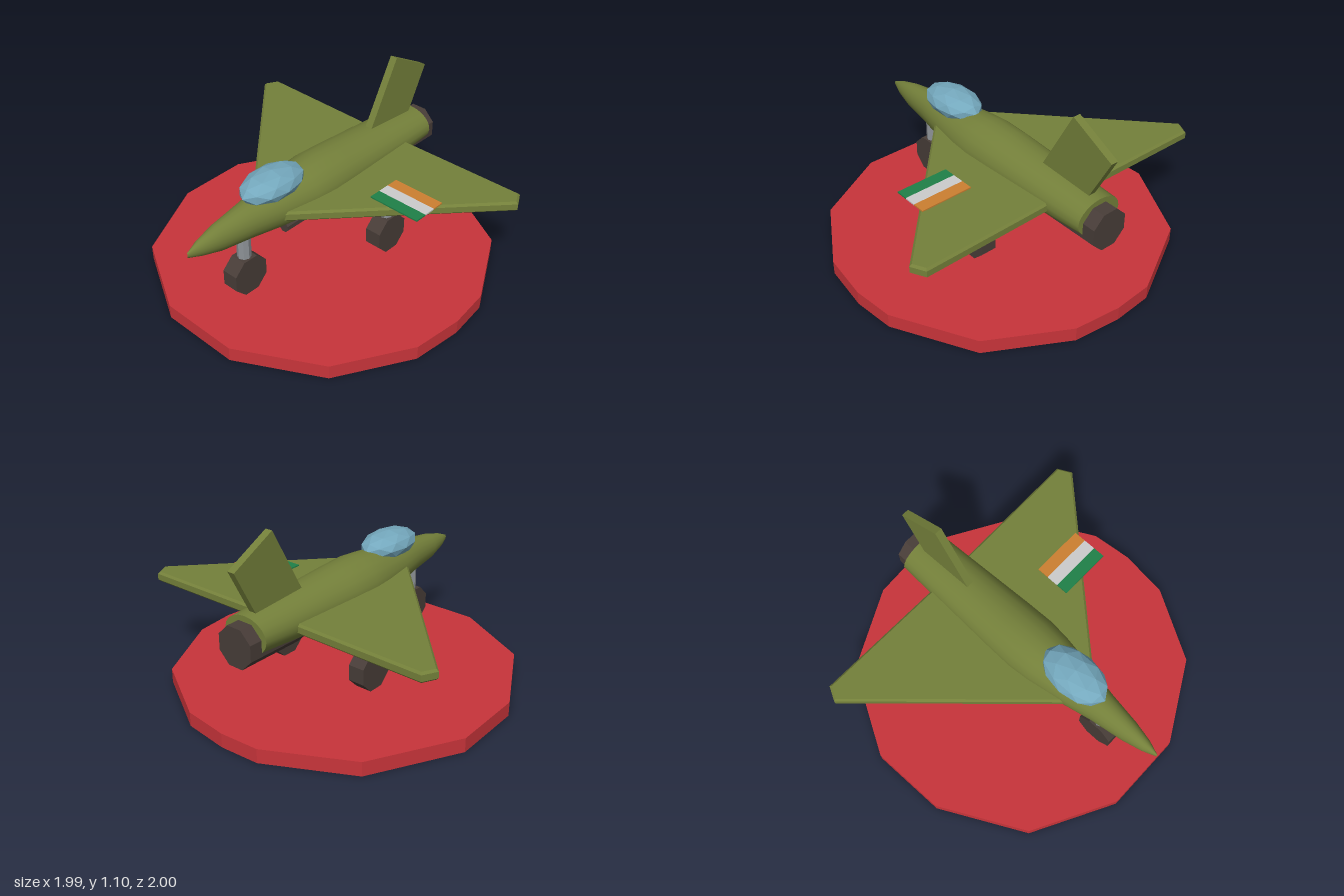
import * as THREE from 'three';

const mat = (name, color) => {
  const m = new THREE.MeshStandardMaterial({ color });
  m.name = name;
  return m;
};

// Faceted normals for low-poly parts
const faceted = (geo) => {
  const g = geo.index ? geo.toNonIndexed() : geo;
  g.computeVertexNormals();
  return g;
};

const toShape = (points) => new THREE.Shape(points.map(([x, y]) => new THREE.Vector2(x, y)));

// Horizontal slab from an x/z outline, between yTop - depth and yTop
function slab(points, yTop, depth, bevel = 0) {
  const geo = new THREE.ExtrudeGeometry(toShape(points), {
    depth: depth - 2 * bevel, bevelEnabled: bevel > 0, bevelThickness: bevel,
    bevelSize: bevel, bevelOffset: -bevel, bevelSegments: 1,
  });
  return geo.rotateX(Math.PI / 2).translate(0, yTop - bevel, 0);
}

// Smooth body lofted through elliptical stations [z, halfWidth, bottom, top]
function loft(stations, sides) {
  const pos = [], index = [];
  stations.forEach(([z, w, y0, y1], i) => {
    for (let j = 0; j < sides; j++) {
      const a = (j / sides) * Math.PI * 2;
      pos.push(w * Math.cos(a), (y0 + y1) / 2 + ((y1 - y0) / 2) * Math.sin(a), z);
      if (i === 0) continue;
      const k = (j + 1) % sides, p = (i - 1) * sides, q = i * sides;
      index.push(p + j, q + j, p + k, q + j, q + k, p + k);
    }
  });
  const geo = new THREE.BufferGeometry();
  geo.setAttribute('position', new THREE.Float32BufferAttribute(pos, 3));
  geo.setIndex(index);
  geo.computeVertexNormals();
  return geo;
}

export function createModel() {
  const green = mat('olive paint', 0x74803a);
  const red = mat('red base', 0xc8343a);
  const glass = mat('canopy blue', 0x74a8bd);
  const dark = mat('dark brown', 0x483d38);
  const grey = mat('strut grey', 0x8e9398);
  const stripes = [mat('orange', 0xcc7f30), mat('white', 0xcccccc), mat('flag green', 0x1f8048)];

  const model = new THREE.Group();
  model.name = 'jetOnBase';
  const jet = new THREE.Group();
  jet.name = 'jet';
  jet.position.x = -0.007;
  model.add(jet);
  const add = (name, geo, material, parent = jet) => {
    const mesh = new THREE.Mesh(geo, material);
    mesh.name = name;
    parent.add(mesh);
    return mesh;
  };

  // Base disc
  add('base', slab([
    [-0.24, -0.985], [0, -1], [0.28, -0.965], [0.72, -0.71], [0.965, -0.25], [0.99, 0], [0.955, 0.3],
    [0.71, 0.72], [0.24, 0.98], [-0.24, 0.98], [-0.72, 0.72], [-0.985, 0.22], [-0.995, -0.23], [-0.72, -0.735],
  ], 0.085, 0.085), red, model);

  // Fuselage with flat tail cap
  add('fuselage', loft([
    [1, 0.004, 0.565, 0.595], [0.92, 0.035, 0.535, 0.628], [0.8, 0.062, 0.5, 0.66], [0.6, 0.092, 0.475, 0.688],
    [0.42, 0.13, 0.452, 0.705], [0.2, 0.168, 0.425, 0.73], [0.07, 0.18, 0.415, 0.74],
    [-0.1, 0.176, 0.42, 0.733], [-0.8, 0.147, 0.475, 0.685],
  ], 20), green);
  add('tailCap', new THREE.CircleGeometry(1, 20).scale(0.147, 0.105, 1).rotateY(Math.PI).translate(0, 0.58, -0.8), green);

  // Delta wings
  for (const s of [1, -1]) {
    const outline = [[0, -0.572], [0.94, -0.583], [0.983, -0.5], [0.1, 0.455], [0, 0.455]];
    add(s > 0 ? 'leftWing' : 'rightWing', slab(outline.map(([x, z]) => [s * x, z]), 0.6, 0.06, 0.012), green);
  }

  // Tail fin, outlined in z/y
  const fin = new THREE.ExtrudeGeometry(
    toShape([[0.37, 0.66], [0.72, 0.64], [0.88, 0.95], [0.605, 1.095]]),
    { depth: 0.045, bevelEnabled: false });
  add('tailFin', fin.rotateY(Math.PI / 2).translate(-0.0225, 0, 0), green);

  // Canopy
  add('canopy', faceted(new THREE.IcosahedronGeometry(1, 1).scale(0.13, 0.083, 0.217).translate(0, 0.723, 0.395)), glass);

  // Engine and belly intakes
  const tube = (r, length, sides) =>
    faceted(new THREE.CylinderGeometry(r, r, length, sides).rotateY(Math.PI / sides).rotateX(Math.PI / 2));
  add('engine', tube(0.122, 0.42, 8), dark).position.set(0, 0.537, -0.67);
  for (const s of [1, -1]) {
    add(s > 0 ? 'leftIntake' : 'rightIntake', tube(0.034, 0.22, 8), dark).position.set(s * 0.075, 0.462, 0.28);
  }

  // Landing gear
  for (const [name, x, z] of [['nose', 0, 0.62], ['left', 0.322, -0.19], ['right', -0.322, -0.19]]) {
    const gear = new THREE.Group();
    gear.name = name + 'Gear';
    gear.position.set(x, 0, z);
    jet.add(gear);
    const wheel = new THREE.CylinderGeometry(0.121, 0.121, 0.1, 8).rotateY(Math.PI / 8).rotateZ(Math.PI / 2);
    add('wheel', faceted(wheel), dark, gear).position.y = 0.244;
    const strut = new THREE.CylinderGeometry(0.04, 0.04, 0.19, 8);
    add('strut', faceted(strut), grey, gear).position.y = 0.395;
  }

  // Striped flag plate over the left wing
  stripes.forEach((m, i) => {
    add('flagStripe', new THREE.BoxGeometry(0.32, 0.008, 0.073), m, model).position.set(0.52, 0.603, -0.1735 + i * 0.073);
  });

  return model;
}
